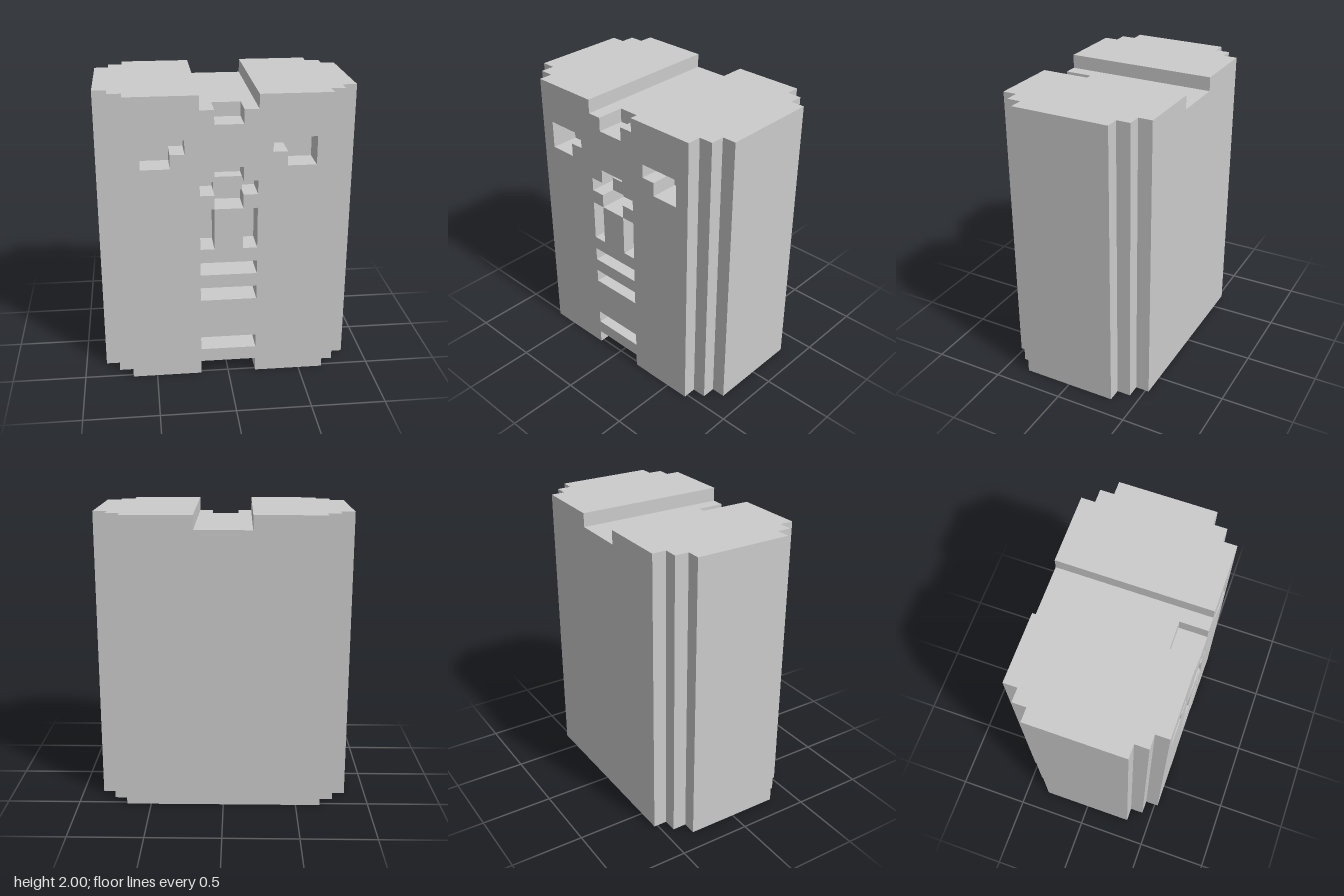
import * as THREE from 'three';

const U = 2 / 21; // one block unit: the model is 18 x 21 x 11 units

const toPoints = (pts) => pts.map(([x, y]) => new THREE.Vector2(x * U, y * U));
const rect = (x0, y0, x1, y1) => [[x0, y0], [x1, y0], [x1, y1], [x0, y1]];
const mirror = (pts) => pts.map(([x, y]) => [-x, y]).reverse();

// Front outline of a layer; carved layers also get the top notch and the bottom slot
function outline(halfWidth, carved) {
  const right = [[halfWidth, 0], [halfWidth, 21], [2, 21], [2, 20]];
  if (carved) {
    right.unshift([2, 1], [2, 0]);
    right.push([1, 20], [1, 19]);
  }
  return [...right, ...mirror(right)];
}

// Carved openings of the front
const eye = [[3, 18], [3, 17], [4, 17], [4, 16], [6, 16], [6, 18]];
const sideSlot = rect(1.004, 10, 2, 12.996);
const crossHalf = [[1, 13], [1, 14], [2, 14], [2, 15], [1, 15], [1, 16]];
const openings = [
  eye, mirror(eye),
  sideSlot, mirror(sideSlot),
  [...crossHalf, ...mirror(crossHalf)],
  ...[8, 6, 2].map((y) => rect(-2, y, 2, y + 1)),
];

export function createModel() {
  const group = new THREE.Group();
  group.name = 'carvedBlock';
  const material = new THREE.MeshStandardMaterial({ color: 0xcccccc, flatShading: true });

  // Layers from back to front: name, half width, start z, end z, carved
  const layers = [
    ['backPanel', 7, -5.5, -4.5, false],
    ['backStep', 8, -4.5, -3.5, false],
    ['core', 9, -3.5, 3.5, false],
    ['frontStep', 8, 3.5, 4.5, true],
    ['frontPanel', 7, 4.5, 5.5, true],
  ];
  for (const [name, halfWidth, z0, z1, carved] of layers) {
    const shape = new THREE.Shape(toPoints(outline(halfWidth, carved)));
    if (carved) shape.holes = openings.map((pts) => new THREE.Path(toPoints(pts)));
    const geometry = new THREE.ExtrudeGeometry(shape, { depth: (z1 - z0) * U, bevelEnabled: false });
    const mesh = new THREE.Mesh(geometry, material);
    mesh.name = name;
    mesh.position.z = z0 * U;
    group.add(mesh);
  }

  // Half-depth block in the middle of the cross opening
  const centre = new THREE.Mesh(new THREE.BoxGeometry(2 * U, U, U), material);
  centre.name = 'crossCentre';
  centre.position.set(0, 14.5 * U, 4 * U);
  group.add(centre);

  return group;
}
